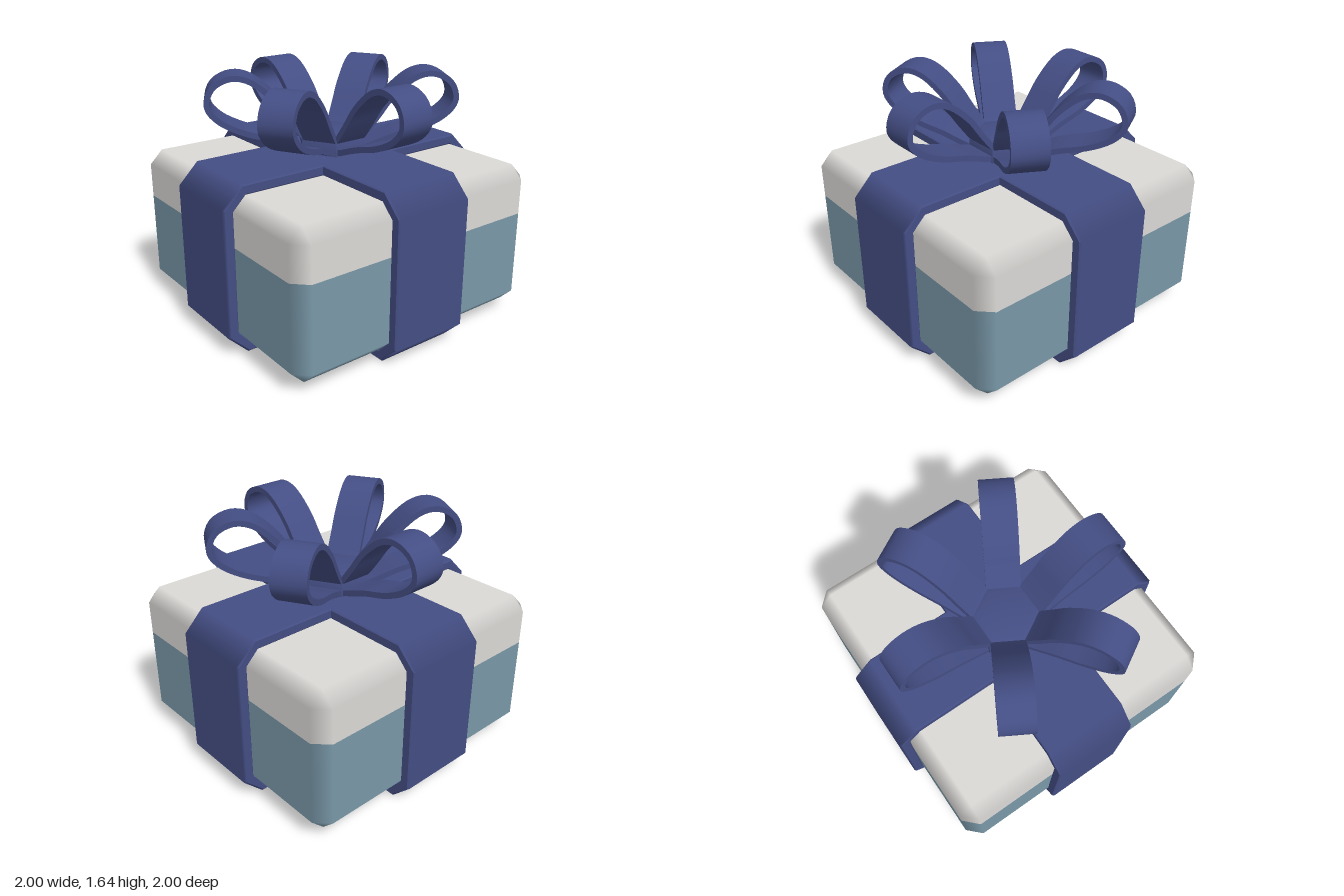
import * as THREE from 'three';
import { toCreasedNormals } from 'three/addons/utils/BufferGeometryUtils.js';
import { ConvexGeometry } from 'three/addons/geometries/ConvexGeometry.js';

const material = (name, color) => Object.assign(new THREE.MeshStandardMaterial({ color }), { name });

// Half of the chamfered box: a closed end at yEnd, cut square at yCut
function boxPart(yEnd, yCut, half, chamfer) {
  const inner = half - chamfer;
  const yEdge = yEnd + Math.sign(yCut - yEnd) * chamfer;
  const points = [];
  for (const sx of [-1, 1]) for (const sz of [-1, 1]) {
    points.push(new THREE.Vector3(sx * inner, yEnd, sz * inner));
    for (const y of [yEdge, yCut]) {
      points.push(new THREE.Vector3(sx * half, y, sz * inner));
      points.push(new THREE.Vector3(sx * inner, y, sz * half));
    }
  }
  const geo = new ConvexGeometry(points);
  // Main faces keep straight normals, so the chamfers blend softly
  const p = geo.attributes.position, n = geo.attributes.normal;
  for (let i = 0; i < p.count; i++) {
    const x = p.getX(i), y = p.getY(i), z = p.getZ(i);
    if (Math.abs(y - yEnd) < 1e-4) n.setXYZ(i, 0, Math.sign(yEnd - yCut), 0);
    else if (Math.abs(x) > Math.abs(z)) n.setXYZ(i, Math.sign(x), 0, 0);
    else n.setXYZ(i, 0, 0, Math.sign(z));
  }
  return geo;
}

// Octagon with cut corners, centred on the origin
function octagon(w, h, c) {
  return [[w, -h + c], [w, h - c], [w - c, h], [c - w, h], [-w, h - c], [-w, c - h], [c - w, -h], [w - c, -h]]
    .map(([x, y]) => new THREE.Vector2(x, y));
}

// Ribbon wrapped once around the box
function bandGeometry() {
  const bevel = 0.012, width = 0.56;
  const shape = new THREE.Shape(octagon(1, 0.56, 0.135));
  shape.holes.push(new THREE.Path(octagon(0.925, 0.485, 0.085).reverse()));
  const geo = new THREE.ExtrudeGeometry(shape, {
    depth: width - 2 * bevel, bevelEnabled: true, bevelSize: bevel,
    bevelThickness: bevel, bevelOffset: -bevel, bevelSegments: 1,
  });
  geo.translate(0, 0, bevel - width / 2);
  // Soft shading over the outer corners
  const p = geo.attributes.position, n = geo.attributes.normal;
  for (let i = 0; i < p.count; i++) {
    const x = p.getX(i), y = p.getY(i);
    if (Math.abs(p.getZ(i)) > width / 2 - bevel + 1e-3) continue;
    if (Math.abs(x) > 0.985) n.setXYZ(i, Math.sign(x), 0, 0);
    else if (Math.abs(y) > 0.545) n.setXYZ(i, 0, Math.sign(y), 0);
  }
  geo.translate(0, 0.56, 0);
  return geo;
}

// One teardrop loop of the bow, reaching out along +x
function loopGeometry() {
  const width = 0.225, t = 0.019;
  const path = new THREE.SplineCurve([
    [0.05, 1.125], [0.2, 1.145], [0.4, 1.215], [0.58, 1.265], [0.73, 1.34], [0.807, 1.44], [0.77, 1.56],
    [0.65, 1.62], [0.52, 1.59], [0.38, 1.47], [0.28, 1.335], [0.18, 1.21], [0.08, 1.13],
  ].map(([x, y]) => new THREE.Vector2(x, y)));
  const outer = [], inner = [], steps = 48;
  for (let i = 0; i <= steps; i++) {
    const c = path.getPoint(i / steps), d = path.getTangent(i / steps);
    outer.push(new THREE.Vector2(c.x + d.y * t, c.y - d.x * t));
    inner.unshift(new THREE.Vector2(c.x - d.y * t, c.y + d.x * t));
  }
  const geo = new THREE.ExtrudeGeometry(new THREE.Shape([...outer, ...inner]), { depth: width, bevelEnabled: false });
  geo.translate(0, 0, -width / 2);
  return toCreasedNormals(geo, 0.7);
}

export function createModel() {
  const model = new THREE.Group();
  model.name = 'giftBox';
  const ribbon = material('ribbonBlue', 0x444e84);
  const teal = material('boxTeal', 0x7998a8);
  const white = material('lidWhite', 0xdcdad7);

  const add = (name, geo, mat, parent = model) => {
    const mesh = new THREE.Mesh(geo, mat);
    mesh.name = name;
    parent.add(mesh);
    return mesh;
  };

  // Box and lid
  add('boxBase', boxPart(0.07, 0.73, 0.93, 0.09), teal);
  add('boxLid', boxPart(1.05, 0.73, 0.93, 0.09), white);

  // Crossed ribbon bands
  const band = bandGeometry();
  add('bandAcross', band, ribbon);
  add('bandFrontToBack', band, ribbon).rotation.y = Math.PI / 2;

  // Bow: six loops around a hexagonal knot
  const bow = new THREE.Group();
  bow.name = 'bow';
  model.add(bow);
  const loop = loopGeometry();
  for (let i = 0; i < 6; i++) add('bowLoop' + (i + 1), loop, ribbon, bow).rotation.y = i * Math.PI / 3;

  const profile = [[0.24, 1.1], [0.24, 1.2], [0.225, 1.235], [0.18, 1.25], [0, 1.25]]
    .map(([x, y]) => new THREE.Vector2(x, y));
  add('bowKnot', toCreasedNormals(new THREE.LatheGeometry(profile, 6), 0.8), ribbon, bow);
  return model;
}
